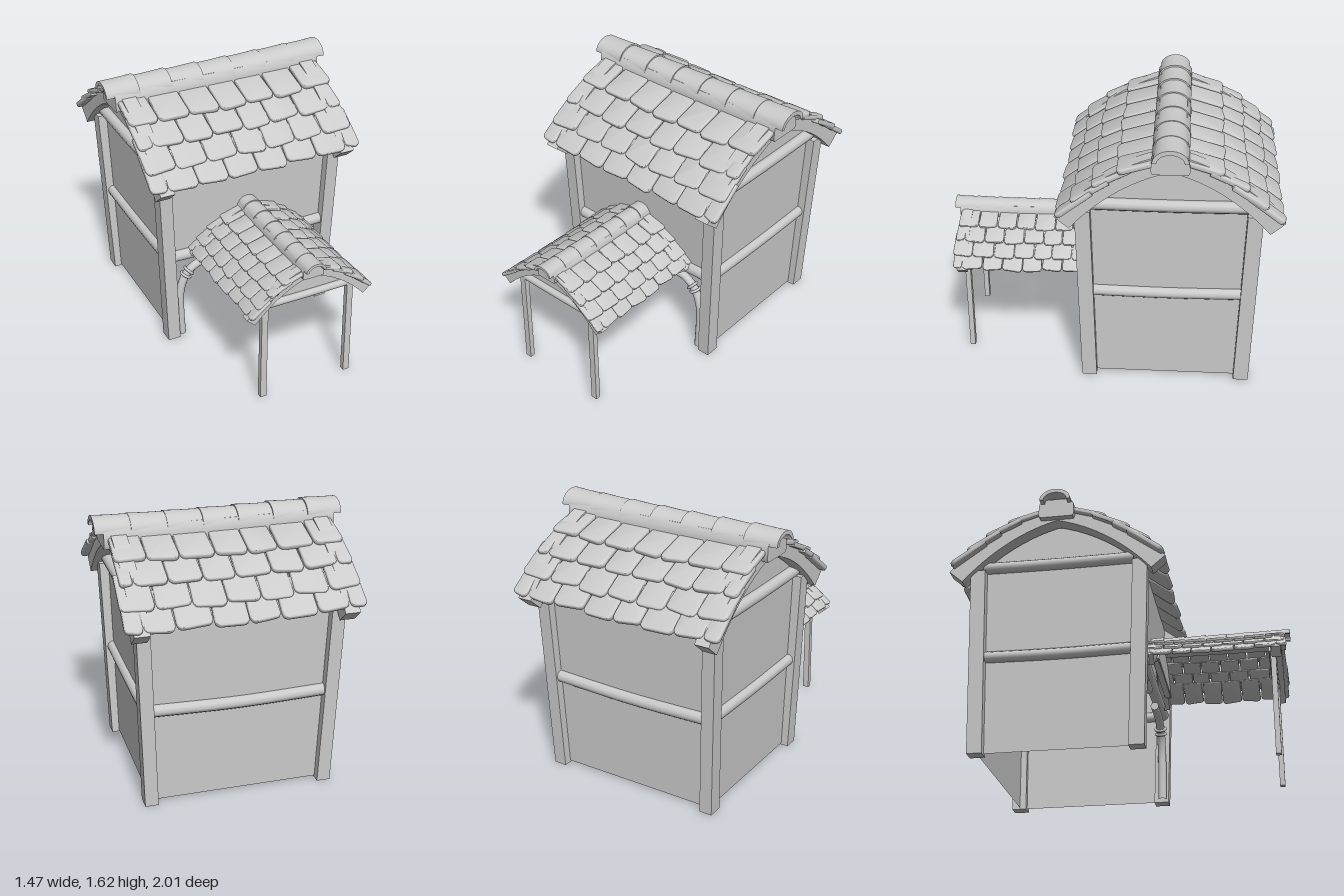
import * as THREE from 'three';
import { toCreasedNormals } from 'three/addons/utils/BufferGeometryUtils.js';

const material = new THREE.MeshStandardMaterial({ color: 0xcccccc });
const sheet = new THREE.MeshStandardMaterial({ color: 0xcccccc, side: THREE.DoubleSide });
const V = (x, y, z = 0) => new THREE.Vector3(x, y, z);

let seed = 7;
const jitter = (a) => {
  seed = (seed * 16807) % 2147483647;
  return (seed / 2147483647 - 0.5) * 2 * a;
};

function add(parent, name, geometry, mat = material) {
  const mesh = new THREE.Mesh(geometry, mat);
  mesh.name = name;
  parent.add(mesh);
  return mesh;
}

// Prism from a 2D outline, centred on z
function prism(points, depth, z = 0) {
  const shape = new THREE.Shape(points.map(([x, y]) => new THREE.Vector2(x, y)));
  const g = new THREE.ExtrudeGeometry(shape, { depth, bevelEnabled: false });
  return toCreasedNormals(g.translate(0, 0, z - depth / 2), 0.6);
}

// Square post whose foot and head have different centres
function post(parent, name, foot, head, w, d) {
  const g = new THREE.BoxGeometry(w, 1, d).translate(0, 0.5, 0);
  const p = g.attributes.position;
  for (let i = 0; i < p.count; i++) {
    const t = p.getY(i);
    p.setXYZ(i, p.getX(i) + foot.x + (head.x - foot.x) * t,
      foot.y + (head.y - foot.y) * t,
      p.getZ(i) + foot.z + (head.z - foot.z) * t);
  }
  g.computeVertexNormals();
  return add(parent, name, g);
}

// Round beam that sags a little
function beam(parent, name, a, b, r, sag = 0.012) {
  const mid = a.clone().add(b).multiplyScalar(0.5);
  mid.y -= sag;
  add(parent, name, new THREE.TubeGeometry(new THREE.CatmullRomCurve3([a, mid, b]), 12, r, 10));
}

// Flat wall from four corners
function wall(parent, name, a, b, c, d) {
  const g = new THREE.BufferGeometry().setFromPoints([a, b, c, a, c, d]);
  g.computeVertexNormals();
  add(parent, name, g, sheet);
}

// Slope of the roof, from ridge to eave
const slope = new THREE.QuadraticBezierCurve(
  new THREE.Vector2(0, 1.545), new THREE.Vector2(0.36, 1.46), new THREE.Vector2(0.645, 1.135));
function slopePoint(t, lift) {
  const p = slope.getPoint(t), d = slope.getTangent(t);
  return [p.x - d.y * lift, p.y + d.x * lift];
}
function bargeOutline(side) {
  const ts = [...Array(11).keys()].map((i) => i / 10);
  const pts = [...ts.map((t) => slopePoint(t, 0.016)), ...ts.reverse().map((t) => slopePoint(t, -0.095))];
  return pts.map(([x, y]) => [side * x, y]);
}

// Bevelled tile with rounded corners, lower edge at y = 0
function tileGeometry(w, l) {
  const b = 0.008, x = w / 2 - b, r = Math.min(0.03, x * 0.6), k = jitter(0.007);
  const s = new THREE.Shape();
  s.moveTo(-x + r, b + k);
  s.lineTo(x - r, b - k);
  s.quadraticCurveTo(x, b - k, x, b + r);
  s.lineTo(x - 0.004, l);
  s.lineTo(-x + 0.004, l);
  s.lineTo(-x, b + r);
  s.quadraticCurveTo(-x, b + k, -x + r, b + k);
  const g = new THREE.ExtrudeGeometry(s, {
    depth: 0.016, bevelThickness: b, bevelSize: b, bevelSegments: 2, curveSegments: 4 });
  return toCreasedNormals(g, 0.8);
}

function roofTiles(roof, side) {
  [0.426, 0.635, 0.825, 0.97].forEach((tEnd, row) => {
    // Alternate rows are shifted by half a tile
    const half = 0.675 + 0.007 * row, pitch = (2 * half) / 7;
    const edges = [-half];
    for (let i = row % 2 ? 0.5 : 1; i < 6.9; i++) edges.push(-half + i * pitch + jitter(0.012));
    edges.push(half + jitter(0.012));
    for (let i = 0; i + 1 < edges.length; i++) {
      const z = (edges[i] + edges[i + 1]) / 2;
      const sag = 0.02 * (1 - (z / half) ** 2);
      const [ax, ay] = slopePoint(tEnd - 0.3, -0.015);
      const [bx, by] = slopePoint(tEnd + jitter(0.01), 0.012 + jitter(0.004));
      const up = V(side * (ax - bx), ay - by);
      const length = up.length();
      up.normalize();
      const normal = V(side * up.y, Math.abs(up.x));
      const m = new THREE.Matrix4().makeBasis(up.clone().cross(normal), up, normal);
      const tile = add(roof, 'roofTile', tileGeometry(edges[i + 1] - edges[i] - 0.006, length));
      tile.quaternion.setFromRotationMatrix(m);
      tile.rotateZ(jitter(0.025));
      tile.position.set(side * bx, by - sag, z);
    }
  });
}

// Half-round ridge tiles, each flaring toward one end
function ridgeCaps(roof) {
  const n = 7, step = 1.47 / n;
  for (let i = 0; i < n; i++) {
    const s = new THREE.Shape();
    s.absellipse(0, 0, 0.098, 0.075, 0, Math.PI, false);
    s.absellipse(0, 0, 0.074, 0.05, Math.PI, 0, true);
    const g = new THREE.ExtrudeGeometry(s, { depth: step, steps: 4, bevelEnabled: false, curveSegments: 12 });
    const p = g.attributes.position;
    for (let j = 0; j < p.count; j++) {
      const u = p.getZ(j) / step;
      const k = 0.96 + 0.09 * u * u;
      p.setXY(j, p.getX(j) * k, p.getY(j) * k);
    }
    const z = -0.735 + i * step;
    const cap = add(roof, 'ridgeTile', toCreasedNormals(g, 0.7));
    cap.position.set(0, 1.545 - 0.01 * (1 - ((z + step / 2) / 0.735) ** 2), z);
  }
}

// Complete roof with its ridge along z
function createRoof(name) {
  const roof = new THREE.Group();
  roof.name = name;
  for (const side of [1, -1]) {
    for (const end of [1, -1])
      add(roof, 'bargeBoard', prism(bargeOutline(side), 0.09, end * 0.6));
    roofTiles(roof, side);
  }
  for (const end of [1, -1]) {
    add(roof, 'gablePanel', prism(
      [[-0.5, 1.17], [0.5, 1.17], [0.25, 1.39], [0, 1.48], [-0.25, 1.39]], 0.02, end * 0.535));
    beam(roof, 'gableBeam', V(-0.46, 1.195, end * 0.56), V(0.46, 1.195, end * 0.56), 0.037, 0.004);
  }
  add(roof, 'ridgeBeam', prism(
    [[-0.1, 1.45], [0.1, 1.45], [0.11, 1.47], [0.105, 1.54], [0.085, 1.57],
      [-0.085, 1.57], [-0.105, 1.54], [-0.11, 1.47]], 1.37));
  ridgeCaps(roof);
  return roof;
}

// Curved entrance brace with two binding rings
function createBrace() {
  const brace = new THREE.Group();
  brace.name = 'entranceBrace';
  const path = new THREE.CatmullRomCurve3([[0.465, 0.01], [0.472, 0.2], [0.465, 0.34], [0.42, 0.45],
    [0.345, 0.505], [0.26, 0.514], [0.13, 0.514]].map(([x, y]) => V(x, y, 0.13)));
  add(brace, 'braceTube', new THREE.TubeGeometry(path, 32, 0.026, 12));
  const cap = add(brace, 'braceEnd', new THREE.CircleGeometry(0.026, 12));
  cap.position.set(0.13, 0.514, 0.13);
  cap.rotation.y = -Math.PI / 2;
  for (const u of [0.575, 0.62]) {
    const ring = add(brace, 'braceRing', new THREE.TorusGeometry(0.031, 0.009, 8, 16));
    ring.position.copy(path.getPointAt(u));
    ring.lookAt(ring.position.clone().add(path.getTangentAt(u)));
  }
  return brace;
}

export function createModel() {
  const model = new THREE.Group();
  model.name = 'houseWithPorch';
  const zc = -0.345;

  // Corner posts, side walls and side beams
  for (const sx of [1, -1]) {
    for (const sz of [1, -1])
      post(model, 'cornerPost', V(sx * 0.53, 0, zc + sz * 0.465), V(sx * 0.57, 1.16, zc + sz * 0.495), 0.08, 0.09);
    wall(model, 'sideWall', V(sx * 0.525, 0.01, zc + 0.45), V(sx * 0.525, 0.01, zc - 0.45),
      V(sx * 0.555, 1.2, zc - 0.48), V(sx * 0.555, 1.2, zc + 0.48));
    beam(model, 'sideBeam', V(sx * 0.545, 0.605, zc + 0.46), V(sx * 0.545, 0.605, zc - 0.46), 0.035, 0.006);
    const brace = createBrace();
    brace.scale.x = sx;
    model.add(brace);
    post(model, 'porchPost', V(sx * 0.285, 0, 0.895), V(sx * 0.28, 0.64, 0.895), 0.04, 0.032);
  }

  // Back wall is full height; the front is open below its beam
  wall(model, 'backWall', V(0.52, 0.01, zc - 0.46), V(-0.52, 0.01, zc - 0.46),
    V(-0.56, 1.25, zc - 0.49), V(0.56, 1.25, zc - 0.49));
  wall(model, 'frontWall', V(-0.54, 0.59, zc + 0.475), V(0.54, 0.59, zc + 0.475),
    V(0.56, 1.25, zc + 0.49), V(-0.56, 1.25, zc + 0.49));
  for (const sz of [1, -1])
    beam(model, 'crossBeam', V(-0.53, 0.602, zc + sz * 0.48), V(0.53, 0.602, zc + sz * 0.48), 0.037);

  // Main roof, and the same roof at a smaller size over the porch
  const mainRoof = createRoof('mainRoof');
  mainRoof.rotation.y = Math.PI / 2;
  mainRoof.position.z = -0.35;
  const porchRoof = createRoof('porchRoof');
  porchRoof.scale.setScalar(0.62);
  porchRoof.position.set(-0.005, -0.093, 0.543);
  model.add(mainRoof, porchRoof);
  return model;
}
